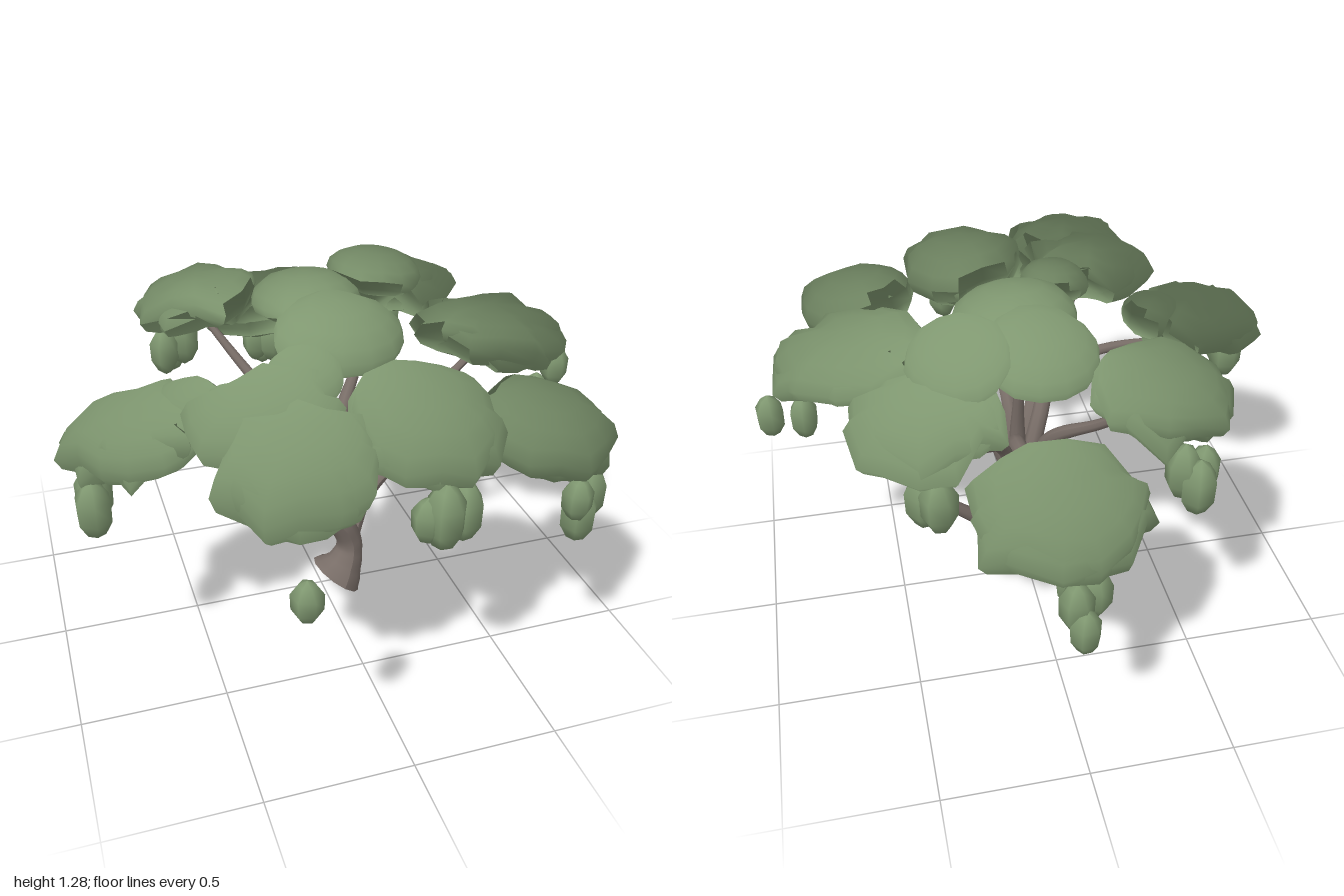
import * as THREE from 'three';

const bark = new THREE.MeshStandardMaterial({ color: 0x786d67 });
bark.name = 'bark';
const leaf = new THREE.MeshStandardMaterial({ color: 0x7f9770, side: THREE.DoubleSide });
leaf.name = 'leaf green';

// Seeded pseudo-random numbers from 0 to 1
function seeded(seed) {
  let s = seed * 7919 + 13;
  return () => {
    s = (s * 16807) % 2147483647;
    return s / 2147483647;
  };
}

// Tube through the points, its radius interpolated along the list of radii
function taperedTube(points, radii, sides = 9) {
  const curve = new THREE.CatmullRomCurve3(points.map((p) => new THREE.Vector3(...p)));
  const steps = 24;
  const geo = new THREE.TubeGeometry(curve, steps, 1, sides, false);
  const pos = geo.attributes.position;
  const v = new THREE.Vector3();
  for (let i = 0; i <= steps; i++) {
    const t = (i / steps) * (radii.length - 1);
    const k = Math.min(Math.floor(t), radii.length - 2);
    const r = THREE.MathUtils.lerp(radii[k], radii[k + 1], t - k);
    const c = curve.getPointAt(i / steps);
    for (let j = 0; j <= sides; j++) {
      const n = i * (sides + 1) + j;
      v.fromBufferAttribute(pos, n).sub(c).multiplyScalar(r).add(c);
      pos.setXYZ(n, v.x, v.y, v.z);
    }
  }
  geo.computeVertexNormals();
  return geo;
}

// Flattened leaf mass that droops away from the trunk; jag sets how ragged its rim is.
// Normals lean outward from the crown so each mass shades as a part of it.
function leafMass(x, y, z, rx, ry, rz, jag, seed) {
  const cols = 14, rows = 8, droop = 0.17;
  const rnd = seeded(seed);
  const rim = Array.from({ length: cols }, () => jag * (rnd() - 0.55));
  const lift = Array.from({ length: cols }, () => jag * (rnd() - 0.5) * 0.32);
  const geo = new THREE.SphereGeometry(1, cols, rows);
  const pos = geo.attributes.position, nor = geo.attributes.normal;
  const own = new THREE.Vector3(), out = new THREE.Vector3();
  for (let i = 0; i < pos.count; i++) {
    const col = (i % (cols + 1)) % cols;
    const up = pos.getY(i);
    const edge = Math.max(0, 1 - up * up);
    const full = edge > 0.001 ? Math.pow(edge, -0.08) : 0;
    const f = full * (1 + rim[col] * edge * edge);
    const px = x + pos.getX(i) * rx * f;
    const pz = z + pos.getZ(i) * rz * f;
    const py = y + up * ry + lift[col] * edge - droop * (Math.hypot(px, pz) - Math.hypot(x, z));
    own.set(pos.getX(i) / rx, up / ry, pos.getZ(i) / rz).normalize();
    out.set(px, (py - 0.95) * 1.2, pz).normalize();
    own.multiplyScalar(0.45).add(out).normalize();
    pos.setXYZ(i, px, py, pz);
    nor.setXYZ(i, own.x, own.y, own.z);
  }
  return geo;
}

export function createModel() {
  const tree = new THREE.Group();
  tree.name = 'tree';
  const add = (parent, name, geo, mat) => {
    const mesh = new THREE.Mesh(geo, mat);
    mesh.name = name;
    parent.add(mesh);
    return mesh;
  };
  const group = (name) => {
    const g = new THREE.Group();
    g.name = name;
    tree.add(g);
    return g;
  };

  // Leaning trunk with a flared, slanted foot
  add(tree, 'trunk', taperedTube(
    [[0.045, 0.067, 0.05], [0.063, 0.09, 0.049], [0.088, 0.135, 0.045], [0.102, 0.2, 0.04], [0.075, 0.28, 0.045], [0.025, 0.35, 0.05], [0.02, 0.4, 0.05]],
    [0.107, 0.07, 0.052, 0.048, 0.048, 0.044, 0.03], 12), bark);
  const foot = add(tree, 'trunkFoot', new THREE.CircleGeometry(0.107, 12), bark);
  foot.position.set(0.045, 0.067, 0.05);
  foot.quaternion.setFromUnitVectors(new THREE.Vector3(0, 0, 1), new THREE.Vector3(-0.61, -0.79, 0).normalize());

  // Limbs fanning out of the top of the trunk
  const branches = group('branches');
  const limbs = [
    [[0.11, 0.63, 0.08], [0.17, 0.7, 0.1], [0.3, 0.76, 0.2], [0.5, 0.87, 0.5]],
    [[0.12, 0.64, 0.05], [0.18, 0.71, 0.06], [0.35, 0.79, 0.07], [0.56, 0.98, 0.08]],
    [[0.09, 0.65, -0.07], [0.13, 0.73, -0.12], [0.22, 0.82, -0.24], [0.36, 1.02, -0.42]],
    [[0.05, 0.66, -0.07], [0.07, 0.74, -0.13], [0.06, 0.78, -0.35], [0.04, 0.8, -0.85]],
    [[-0.06, 0.65, -0.04], [-0.1, 0.73, -0.1], [-0.2, 0.84, -0.22], [-0.34, 1.03, -0.4]],
    [[-0.07, 0.65, 0.13], [-0.11, 0.73, 0.18], [-0.28, 0.83, 0.24], [-0.68, 0.85, 0.25]],
    [[-0.05, 0.65, 0.18], [-0.1, 0.73, 0.26], [-0.2, 0.82, 0.4], [-0.35, 0.95, 0.65]],
    [[0.03, 0.65, 0.18], [0.04, 0.73, 0.26], [0.06, 0.8, 0.4], [0.1, 0.94, 0.6]],
    [[0.025, 0.5, 0.05], [0.03, 0.65, 0.05], [0.03, 0.85, 0.02], [0.03, 1.08, 0]],
  ];
  for (const path of limbs) {
    add(branches, 'limb', taperedTube([[0.02, 0.34, 0.05], ...path], [0.032, 0.034, 0.03, 0.021, 0.017, 0.012]), bark);
  }
  add(branches, 'lowSideLimb', taperedTube(
    [[0.1, 0.16, 0.02], [0.2, 0.34, -0.05], [0.35, 0.49, -0.08], [0.4, 0.59, -0.1], [0.47, 0.7, -0.12], [0.58, 0.77, -0.17]],
    [0.035, 0.027, 0.023, 0.02, 0.012]), bark);

  // Flat crown: centre, half sizes, raggedness
  const crown = group('crown');
  [
    [0.03, 1.13, 0.1, 0.23, 0.11, 0.2, 0.04],
    [0.0, 1.15, -0.2, 0.2, 0.09, 0.21, 0.04],
    [0.28, 1.19, -0.25, 0.17, 0.085, 0.2, 0.04],
    [0.4, 1.08, -0.39, 0.24, 0.105, 0.21, 0.35],
    [-0.35, 1.09, -0.42, 0.23, 0.1, 0.22, 0.3],
    [0.04, 0.91, -0.73, 0.28, 0.12, 0.25, 0.35],
    [0.61, 1.04, 0.07, 0.27, 0.105, 0.23, 0.3],
    [0.55, 0.95, 0.62, 0.22, 0.12, 0.22, 0.12],
    [0.13, 1.05, 0.64, 0.23, 0.13, 0.26, 0.2],
    [-0.3, 1.01, 0.74, 0.26, 0.145, 0.21, 0.3],
    [-0.34, 1.06, 0.5, 0.23, 0.115, 0.2, 0.3],
    [-0.17, 1.1, 0.35, 0.13, 0.08, 0.13, 0.04],
    [-0.7, 0.935, 0.25, 0.24, 0.108, 0.21, 0.3],
    [-0.53, 0.98, 0.22, 0.13, 0.085, 0.13, 0.04],
  ].forEach(([x, y, z, rx, ry, rz, jag], i) => {
    add(crown, 'leafMass', leafMass(x, y, z, rx, ry, rz, jag, i + 1), leaf);
    // Ragged masses carry a second, spikier layer
    if (jag > 0.1) {
      add(crown, 'leafLayer', leafMass(x, y - 0.01, z, rx * 0.97, ry * 0.92, rz * 0.97, jag * 1.3, i + 40), leaf);
    }
  });

  // Small pointed leaf clumps hanging under the crown: centre, half height
  const clumps = group('hangingClumps');
  const profile = [[0, -1], [0.3, -0.8], [0.54, -0.35], [0.56, 0.35], [0.3, 0.8], [0, 1]]
    .map(([r, h]) => new THREE.Vector2(r, h));
  const clumpGeo = new THREE.LatheGeometry(profile, 6);
  [
    [-0.86, 0.73, 0.33, 0.11], [-0.85, 0.75, 0.27, 0.11],
    [-0.47, 0.84, -0.53, 0.1], [-0.43, 0.83, -0.6, 0.11], [-0.39, 0.87, -0.56, 0.11],
    [-0.34, 0.71, 0.95, 0.075],
    [0.11, 0.85, 0.86, 0.12], [0.19, 0.83, 0.82, 0.11], [0.06, 0.84, 0.85, 0.08],
    [0.59, 0.78, 0.8, 0.08], [0.64, 0.68, 0.74, 0.11], [0.68, 0.74, 0.71, 0.11],
    [0.79, 0.78, 0.12, 0.09], [0.9, 0.85, 0.05, 0.085],
    [0.4, 0.89, -0.59, 0.11], [0.44, 0.87, -0.53, 0.11],
    [0.03, 0.7, -0.8, 0.1], [-0.03, 0.69, -0.85, 0.1], [0.04, 0.69, -0.9, 0.1], [0.02, 0.62, -0.94, 0.09],
  ].forEach(([x, y, z, h], i) => {
    const clump = add(clumps, 'leafClump', clumpGeo, leaf);
    const w = Math.max(h, 0.09);
    clump.position.set(x, y, z);
    clump.scale.set(w, h, w);
    clump.rotation.y = i * 1.3;
  });

  return tree;
}
